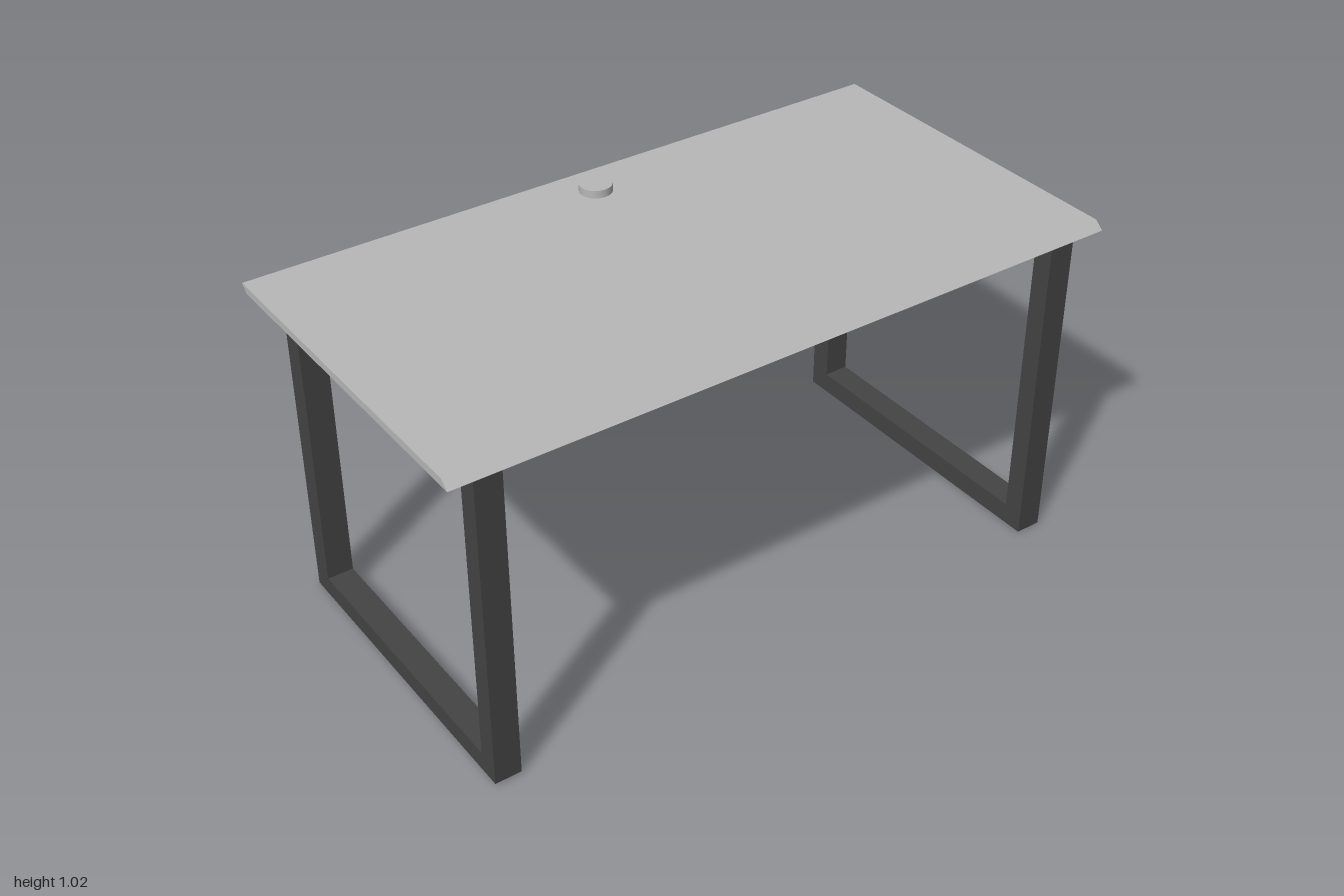
import * as THREE from 'three';

// Extrude a side outline of [z, y] points along x, from x0 to x1
function extrudeAlongX(points, x0, x1) {
  const shape = new THREE.Shape(points.map(([z, y]) => new THREE.Vector2(z, y)));
  const geometry = new THREE.ExtrudeGeometry(shape, { depth: x1 - x0, bevelEnabled: false });
  geometry.rotateY(-Math.PI / 2); // outline x becomes z, depth runs to -x
  geometry.translate(x1, 0, 0);
  return geometry;
}

export function createModel() {
  const model = new THREE.Group();
  model.name = 'desk';

  const topGrey = new THREE.MeshStandardMaterial({ color: 0xb8b8b8 });
  topGrey.name = 'light grey';
  const frameGrey = new THREE.MeshStandardMaterial({ color: 0x444444 });
  frameGrey.name = 'charcoal';

  const add = (name, geometry, material) => {
    const mesh = new THREE.Mesh(geometry, material);
    mesh.name = name;
    model.add(mesh);
    return mesh;
  };

  // Table top with parallel slanted front and back edges
  add('tableTop', extrudeAlongX(
    [[-0.497, 0.979], [0.52, 0.979], [0.495, 1.001], [-0.52, 1.001]], -1, 1), topGrey);

  // U-shaped leg frames
  const frames = [
    { name: 'rightLegFrame', x0: -0.915, x1: -0.838, foot: 0.005 },
    { name: 'leftLegFrame', x0: 0.858, x1: 0.935, foot: 0 },
  ];
  for (const { name, x0, x1, foot } of frames) {
    add(name, extrudeAlongX([
      [-0.482, foot], [0.482, foot], [0.482, 0.979], [0.422, 0.979],
      [0.422, 0.063], [-0.416, 0.063], [-0.416, 0.979], [-0.482, 0.979],
    ], x0, x1), frameGrey);
  }

  // Round cable cap through the top near the back edge
  const cap = add('cableCap', new THREE.CylinderGeometry(0.047, 0.047, 0.061, 32), topGrey);
  cap.position.set(0, 0.9935, -0.412);

  return model;
}
